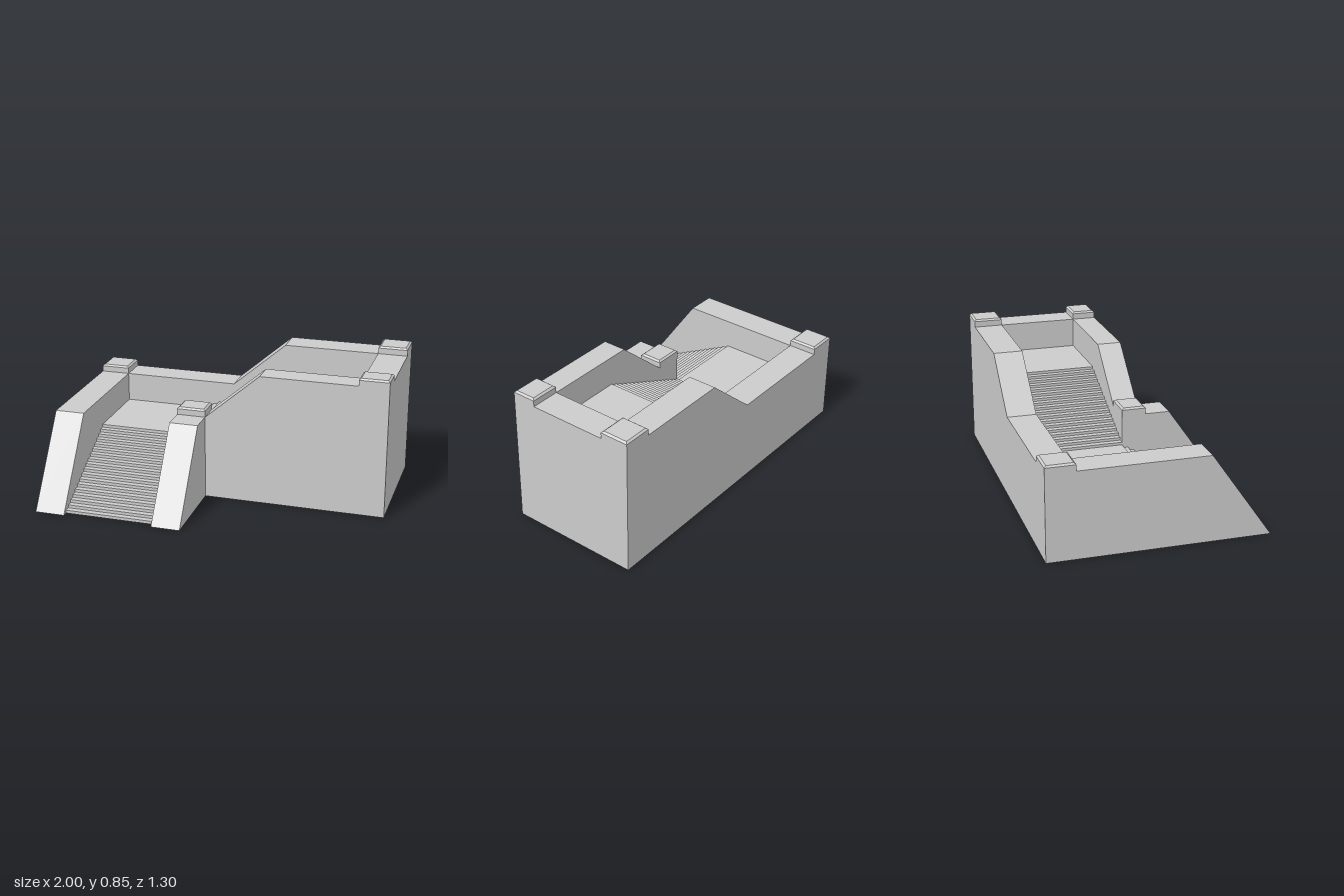
import * as THREE from 'three';

const material = new THREE.MeshStandardMaterial({ color: 0xcccccc, flatShading: true });

// Main heights and plan lines
const LOW = 0.515, HIGH = 0.805;            // wall tops
const LANDING = 0.335, FLOOR = 0.625;       // walking levels
const BACK = -0.65, BACK_IN = -0.475, FRONT_IN = 0, FRONT = 0.145, TOE = 0.65;
const STEPS = 18;

export function createModel() {
  const group = new THREE.Group();

  const add = (name, geometry) => {
    const mesh = new THREE.Mesh(geometry, material);
    mesh.name = name;
    group.add(mesh);
    return mesh;
  };
  const extrude = (points, depth) => new THREE.ExtrudeGeometry(
    new THREE.Shape(points.map(([a, b]) => new THREE.Vector2(a, b))),
    { depth, bevelEnabled: false });

  // Profile in (x, y), running from z0 to z1
  const alongZ = (name, points, z0, z1) =>
    add(name, extrude(points, z1 - z0).translate(0, 0, z0));
  // Profile in (z, y), running from x0 to x1
  const alongX = (name, points, x0, x1) =>
    add(name, extrude(points, x1 - x0).rotateY(-Math.PI / 2).translate(x1, 0, 0));

  // Stair outline climbing from (a0, y0) to (a1, y1), one riser more than treads
  const stairLine = (a0, y0, a1, y1) => {
    const points = [];
    const run = (a1 - a0) / (STEPS - 1), rise = (y1 - y0) / STEPS;
    for (let i = 0; i < STEPS; i++) {
      points.push([a0 + run * i, y0 + rise * i], [a0 + run * i, y0 + rise * (i + 1)]);
    }
    return points;
  };

  // Long walls, stepping up with the upper flight
  alongZ('backWall', [[-1, 0], [1, 0], [1, HIGH], [0.235, HIGH], [-0.1, LOW], [-1, LOW]], BACK, BACK_IN);
  alongZ('frontWall', [[-0.1, 0], [1, 0], [1, HIGH], [0.235, HIGH], [-0.1, LOW]], FRONT_IN, FRONT);

  // End wall beside the upper floor
  alongX('endWall', [[BACK_IN, 0], [FRONT_IN, 0], [FRONT_IN, HIGH], [BACK_IN, HIGH]], 0.82, 1);

  // Side walls of the lower flight, sloping down to the ground
  const sideProfile = (z0) => [[z0, 0], [TOE, 0], [0.29, LOW], [z0, LOW]];
  alongX('outerSideWall', sideProfile(BACK_IN), -1, -0.82);
  alongX('innerSideWall', sideProfile(FRONT_IN), -0.275, -0.1);

  // Lower flight with its landing
  alongX('lowerStairs',
    [...stairLine(0.615, 0, 0, LANDING), [BACK_IN, LANDING], [BACK_IN, 0]], -0.82, -0.275);

  // Upper flight with the upper floor
  alongZ('upperStairs',
    [[-0.275, 0], ...stairLine(-0.275, LANDING, 0.35, FLOOR), [0.82, FLOOR], [0.82, 0]],
    BACK_IN, FRONT_IN);

  // Post caps: a block whose upper rim is chamfered
  const cap = (name, x0, x1, z0, z1, y) => {
    const w = x1 - x0, d = z1 - z0, block = 0.036, rim = 0.01, inset = 0.012;
    const x = (x0 + x1) / 2, z = (z0 + z1) / 2;
    add(name, new THREE.BoxGeometry(w, block, d).translate(x, y + block / 2, z));
    const top = new THREE.BoxGeometry(w, rim, d);
    const p = top.attributes.position;
    for (let i = 0; i < p.count; i++) {
      if (p.getY(i) > 0) {
        p.setX(i, p.getX(i) - Math.sign(p.getX(i)) * inset);
        p.setZ(i, p.getZ(i) - Math.sign(p.getZ(i)) * inset);
      }
    }
    top.translate(x, y + block + rim / 2, z);
    top.computeVertexNormals();
    add(name + 'Rim', top);
  };
  cap('backLowCap', -1, -0.82, BACK, BACK_IN, LOW);
  cap('frontLowCap', -0.275, -0.1, FRONT_IN, FRONT, LOW);
  cap('backHighCap', 0.82, 1, BACK, BACK_IN, HIGH);
  cap('frontHighCap', 0.82, 1, FRONT_IN, FRONT, HIGH);

  return group;
}
